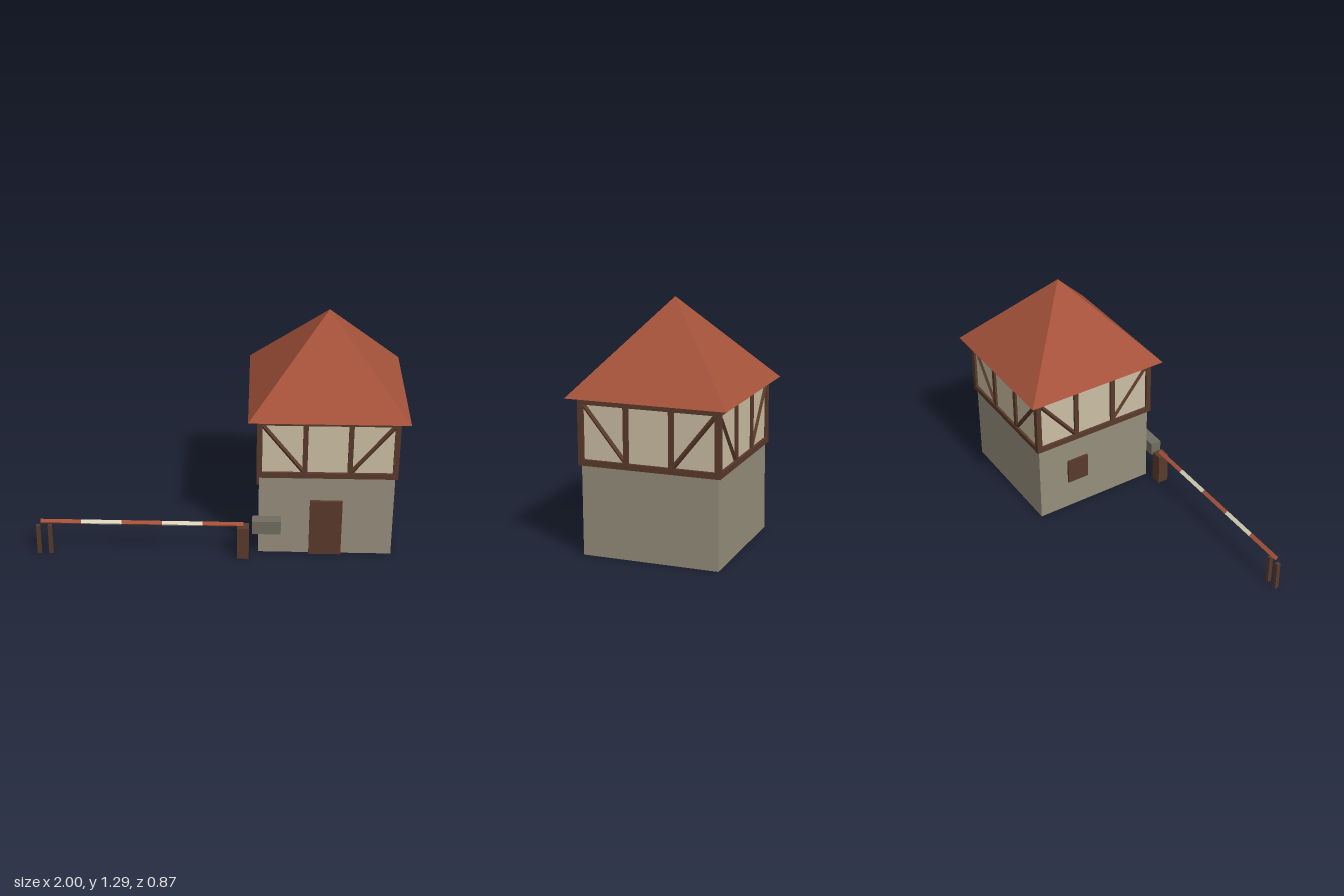
import * as THREE from 'three';

const mat = (name, color) => {
  const m = new THREE.MeshStandardMaterial({ color });
  m.name = name;
  return m;
};

export function createModel() {
  const root = new THREE.Group();
  root.name = 'gatehouse';
  const stone = mat('stone', 0x968e7c);
  const plaster = mat('plaster', 0xcbbea3);
  const timber = mat('timber', 0x5a3a2b);
  const tile = mat('roof tile red', 0xa5523a);
  const cream = mat('cream paint', 0xdcd4ba);
  const iron = mat('weight grey', 0x706c60);

  // Box given by its minimum and maximum corners
  const box = (parent, name, m, [x0, y0, z0], [x1, y1, z1]) => {
    const mesh = new THREE.Mesh(new THREE.BoxGeometry(x1 - x0, y1 - y0, z1 - z0), m);
    mesh.position.set((x0 + x1) / 2, (y0 + y1) / 2, (z0 + z1) / 2);
    mesh.name = name;
    parent.add(mesh);
    return mesh;
  };

  // Four-sided rod between two points
  const rod = (parent, name, m, a, b, r) => {
    const p = new THREE.Vector3(...a), q = new THREE.Vector3(...b);
    const geo = new THREE.CylinderGeometry(r, r, p.distanceTo(q), 4).toNonIndexed();
    geo.computeVertexNormals();
    const mesh = new THREE.Mesh(geo, m);
    mesh.position.copy(p).add(q).multiplyScalar(0.5);
    mesh.quaternion.setFromUnitVectors(new THREE.Vector3(0, 1, 0), q.sub(p).normalize());
    mesh.name = name;
    parent.add(mesh);
  };

  // House, centred on its own axis
  const house = new THREE.Group();
  house.name = 'house';
  house.position.set(0.574, 0, -0.008);
  root.add(house);
  const W = 0.364, T = 0.378;
  const y0 = 0.475, y1 = 0.507, y2 = 0.79, y3 = 0.825;
  box(house, 'stoneBase', stone, [-W, 0, -W], [W, y0, W]);
  box(house, 'plasterStorey', plaster, [-W, y0, -W], [W, y3, W]);

  // Timber frame, the same on all four sides
  for (let i = 0; i < 4; i++) {
    const side = new THREE.Group();
    side.name = 'timberSide' + (i + 1);
    side.rotation.y = i * Math.PI / 2;
    house.add(side);
    box(side, 'sillBeam', timber, [-T, y0, T - 0.03], [T - 0.03, y1, T]);
    box(side, 'topBeam', timber, [-T, y2, T - 0.03], [T - 0.03, y3, T]);
    box(side, 'cornerPost', timber, [-T, y1, T - 0.03], [-T + 0.03, y2, T]);
    for (const s of [-1, 1]) {
      box(side, 'post', timber, [s * 0.12 - 0.0135, y1, W - 0.01], [s * 0.12 + 0.0135, y2, T - 0.002]);
      rod(side, 'brace', timber, [s * 0.35, y2 - 0.002, W], [s * 0.127, y1 + 0.002, W], 0.0125);
    }
  }

  // Pyramid roof with a flat underside
  const roofGeo = new THREE.ConeGeometry(0.425 * Math.SQRT2, 0.47, 4).toNonIndexed();
  roofGeo.rotateY(Math.PI / 4);
  roofGeo.computeVertexNormals();
  const roof = new THREE.Mesh(roofGeo, tile);
  roof.name = 'roof';
  roof.position.y = y3 + 0.235;
  house.add(roof);

  // Door on the front, shutter on the barrier side
  box(root, 'door', timber, [0.487, 0, 0.35], [0.663, 0.333, 0.373]);
  box(root, 'shutter', timber, [0.197, 0.182, -0.19], [0.215, 0.332, -0.06]);

  // Barrier: pivot post, counterweight, striped boom and rest posts
  const barrier = new THREE.Group();
  barrier.name = 'barrier';
  root.add(barrier);
  box(barrier, 'pivotPost', timber, [0.096, 0, 0.371], [0.16, 0.19, 0.434]);
  box(barrier, 'counterweight', iron, [0.177, 0.16, 0.371], [0.332, 0.238, 0.434]);
  const start = -0.973, step = 1.103 / 5;
  for (let i = 0; i < 5; i++) {
    const x = start + i * step;
    rod(barrier, 'boomStripe' + (i + 1), i % 2 ? cream : tile, [x, 0.2, 0.402], [x + step, 0.2, 0.402], 0.0145);
  }
  for (const x of [-1, -0.936])
    box(barrier, 'restPost', timber, [x, 0, 0.391], [x + 0.021, 0.175, 0.413]);

  return root;
}
